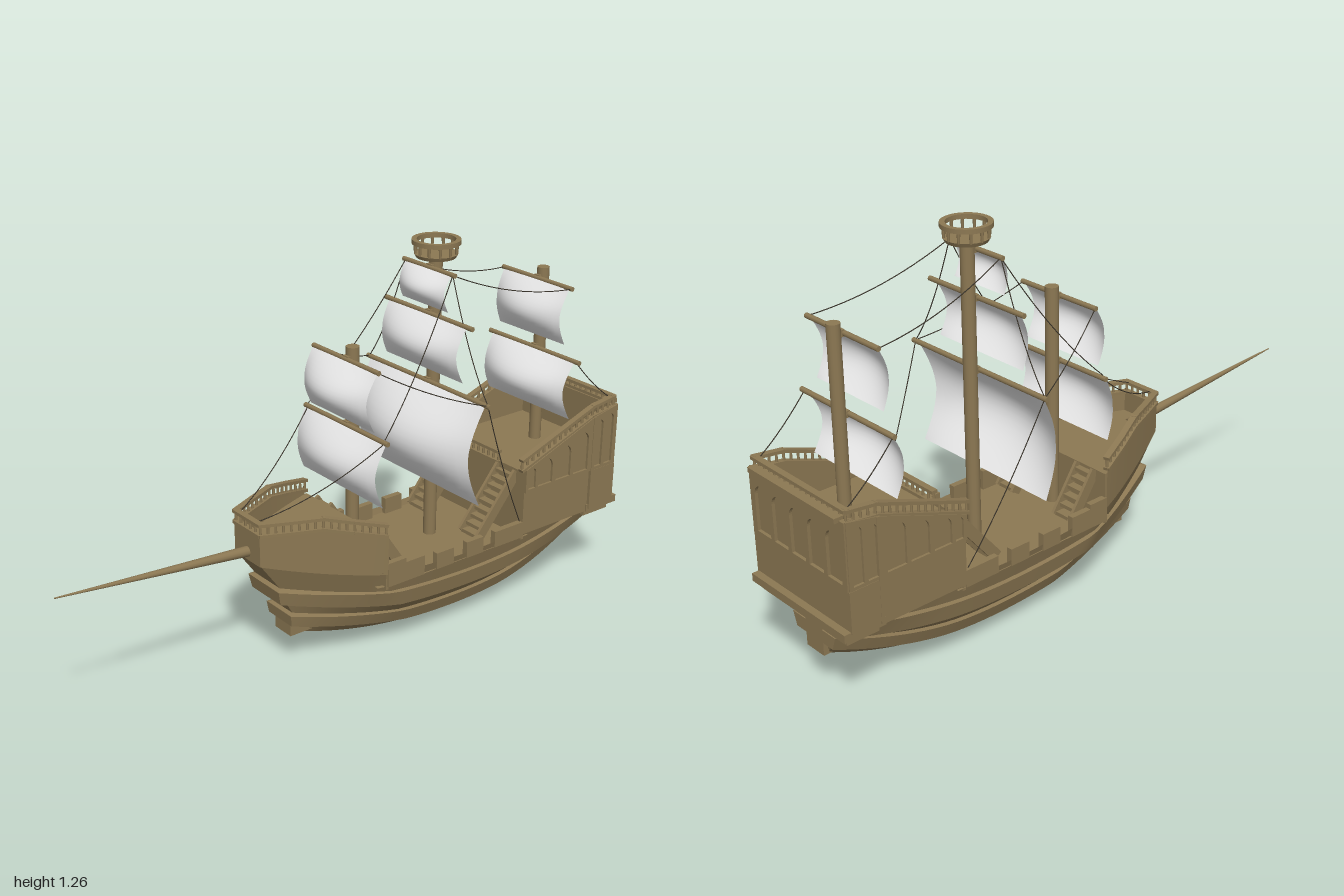
import * as THREE from 'three';
import { toCreasedNormals } from 'three/addons/utils/BufferGeometryUtils.js';

const V = (x, y, z) => new THREE.Vector3(x, y, z);
const MID = -0.38; // lowest point of the sheer

// hull levels from keel to sheer: y mid, bow, stern; half width mid, bow, stern; z bow, stern
const LEVELS = [
  [0, 0.10, 0.13, 0.035, 0.03, 0.035, 0.18, -0.93],
  [0.065, 0.155, 0.175, 0.115, 0.045, 0.07, 0.225, -0.94],
  [0.062, 0.152, 0.172, 0.13, 0.06, 0.085, 0.245, -0.95],
  [0.105, 0.19, 0.215, 0.147, 0.065, 0.10, 0.25, -0.95],
  [0.108, 0.193, 0.218, 0.135, 0.05, 0.085, 0.235, -0.945],
  [0.165, 0.255, 0.255, 0.18, 0.055, 0.14, 0.27, -0.95],
  [0.162, 0.25, 0.25, 0.195, 0.075, 0.16, 0.295, -0.96],
  [0.215, 0.297, 0.30, 0.206, 0.08, 0.185, 0.305, -0.96],
  [0.218, 0.302, 0.305, 0.194, 0.065, 0.175, 0.29, -0.95],
  [0.29, 0.40, 0.41, 0.215, 0.065, 0.215, 0.36, -0.97],
];
const SHEER = LEVELS.length - 1;

// point of the hull side at height level k and depth z
function hullPoint(k, z) {
  const [ym, yb, ys, wm, wb, ws, zf, zb] = LEVELS[k];
  const fore = z > MID;
  const t = fore ? (z - MID) / (zf - MID) : (z - MID) / (zb - MID);
  const y = ym + ((fore ? yb : ys) - ym) * t * t;
  const start = -0.2 + 0.02 * k;
  const f = Math.max(0, (z - start) / (zf - start)) ** 1.15;
  const a = Math.max(0, (z + 0.55) / (zb + 0.55)) ** 1.5;
  return V(wm + (wb - wm) * f + (ws - wm) * a, y, z);
}
const half = (z) => hullPoint(SHEER, z).x;

// surface through rows of points, optionally closing both ends across the ship
function loft(rows, capped) {
  const n = rows[0].length, pos = [], idx = [];
  rows.forEach((r) => r.forEach((p) => pos.push(p.x, p.y, p.z)));
  for (let i = 0; i < rows.length - 1; i++)
    for (let j = 0; j < n - 1; j++) {
      const a = i * n + j, b = a + n;
      idx.push(a, a + 1, b, a + 1, b + 1, b);
    }
  if (capped)
    for (let j = 0; j < n / 2 - 1; j++) {
      const k = n - 1 - j, e = (rows.length - 1) * n;
      idx.push(j, k, j + 1, j + 1, k, k - 1);
      idx.push(e + j, e + j + 1, e + k, e + j + 1, e + k - 1, e + k);
    }
  const g = new THREE.BufferGeometry();
  g.setAttribute('position', new THREE.Float32BufferAttribute(pos, 3));
  g.setIndex(idx);
  return toCreasedNormals(g, 0.5);
}

export function createModel() {
  const wood = new THREE.MeshStandardMaterial({ color: 0x8c7853, side: THREE.DoubleSide });
  wood.name = 'wood';
  const cloth = new THREE.MeshStandardMaterial({ color: 0xf4f4f4, side: THREE.DoubleSide });
  cloth.name = 'sailcloth';
  const cord = new THREE.MeshStandardMaterial({ color: 0x3c362c });
  cord.name = 'rope';
  const ship = new THREE.Group();
  ship.name = 'sailingShip';

  const add = (name, geo, mat = wood, x = 0, y = 0, z = 0) => {
    const m = new THREE.Mesh(geo, mat);
    m.name = name;
    m.position.set(x, y, z);
    ship.add(m);
    return m;
  };
  // box given by its limits
  const box = (name, x0, x1, y0, y1, z0, z1) =>
    add(name, new THREE.BoxGeometry(x1 - x0, y1 - y0, z1 - z0), wood, (x0 + x1) / 2, (y0 + y1) / 2, (z0 + z1) / 2);
  const beam = (name, a, b, w, h) => {
    const m = add(name, new THREE.BoxGeometry(w, h, a.distanceTo(b) + w * 0.5));
    m.position.copy(a).lerp(b, 0.5);
    m.lookAt(b);
  };
  // balustrade: top rail, foot rail and posts along a path
  const rail = (name, pts, h = 0.035) => {
    for (let i = 0; i < pts.length - 1; i++) {
      const a = pts[i], b = pts[i + 1], n = Math.max(1, Math.round(a.distanceTo(b) / 0.025));
      const down = V(0, -h, 0);
      beam(name + 'Top', a, b, 0.02, 0.01);
      beam(name + 'Foot', a.clone().add(down), b.clone().add(down), 0.02, 0.01);
      for (let j = 0; j <= n; j++) {
        const p = a.clone().lerp(b, j / n);
        add(name + 'Post', new THREE.CylinderGeometry(0.004, 0.005, h, 6), wood, p.x, p.y - h / 2, p.z);
      }
    }
  };

  // hull
  const hullRows = [];
  for (let i = 0; i <= 30; i++) {
    const side = LEVELS.map((l, k) => hullPoint(k, l[7] + (l[6] - l[7]) * i / 30));
    const other = side.map((p) => V(-p.x, p.y, p.z));
    hullRows.push([...other.reverse(), ...side]);
  }
  add('hull', loft(hullRows, true));
  box('stemBlock', -0.04, 0.04, 0.105, 0.185, 0.15, 0.235);
  box('sternPost', -0.04, 0.04, 0.13, 0.25, -0.95, -0.86);

  // decks follow the hull outline
  const deck = (name, y, z0, z1) => {
    const pts = [];
    for (let i = 0; i <= 12; i++) {
      const z = z0 + (z1 - z0) * i / 12;
      pts.push(new THREE.Vector2(half(z) - 0.003, -z));
    }
    const mirrored = pts.map((p) => new THREE.Vector2(-p.x, p.y)).reverse();
    add(name, new THREE.ShapeGeometry(new THREE.Shape([...pts, ...mirrored])), wood, 0, y, 0).rotation.x = -Math.PI / 2;
  };
  deck('mainDeck', 0.27, -0.6, 0.02);
  deck('foredeck', 0.43, -0.01, 0.355);
  deck('quarterdeck', 0.49, -0.96, -0.57);

  // forecastle walls
  const foreTop = (z) => Math.min(0.5, 0.45 + 0.05 * z / 0.18);
  const foreRows = [];
  for (let i = 0; i <= 12; i++) {
    const z = -0.01 + 0.37 * i / 12, p = hullPoint(SHEER, z);
    foreRows.push([V(p.x, p.y - 0.005, z), V(p.x + 0.002, foreTop(z), z)]);
  }
  add('forecastleWallLeft', loft(foreRows));
  add('forecastleWallRight', loft(foreRows.map((r) => r.map((p) => V(-p.x, p.y, p.z)).reverse())));
  box('forecastleFront', -0.066, 0.066, 0.395, 0.5, 0.35, 0.36);
  box('forecastleBulkhead', -0.21, 0.21, 0.26, 0.43, -0.015, -0.005);
  const foreZ = [-0.005, 0.09, 0.18, 0.27, 0.355];
  const foreSide = foreZ.map((z) => V(half(z) - 0.004, foreTop(z) + 0.032, z));
  rail('foreRail', [...foreSide, ...foreSide.map((p) => V(-p.x, p.y, p.z)).reverse()]);

  // waist bulwark blocks with gaps between them
  for (const s of [-1, 1]) {
    for (const [a, b, y] of [[-0.08, -0.01, 0.35], [-0.155, -0.08, 0.335], [-0.275, -0.205, 0.325], [-0.40, -0.33, 0.325], [-0.57, -0.45, 0.325]])
      box('bulwarkBlock', s * 0.205 - 0.01, s * 0.205 + 0.01, 0.27, y, a, b);
  }

  // plate with arched openings
  const plate = (outline, arches, depth) => {
    const shape = new THREE.Shape(outline.map((p) => new THREE.Vector2(...p)));
    for (const [c, y0, w, h] of arches) {
      const hole = new THREE.Path();
      hole.moveTo(c - w / 2, y0);
      hole.lineTo(c + w / 2, y0);
      hole.lineTo(c + w / 2, y0 + h - w / 2);
      hole.absarc(c, y0 + h - w / 2, w / 2, 0, Math.PI, false);
      hole.lineTo(c - w / 2, y0);
      shape.holes.push(hole);
    }
    return new THREE.ExtrudeGeometry(shape, { depth, bevelEnabled: false, curveSegments: 8 });
  };

  // aftercastle sides (drawn along -z) and stern
  const wall = [[0.57, 0.28], [0.97, 0.28], [0.97, 0.64], [0.87, 0.62], [0.57, 0.51]];
  const trim = [[0.57, 0.43], [0.975, 0.43], [0.975, 0.64], [0.87, 0.62], [0.57, 0.51]];
  const sideArches = [[0.597, 0.44, 0.03, 0.07], [0.655, 0.44, 0.062, 0.09], [0.735, 0.44, 0.066, 0.115],
    [0.815, 0.44, 0.066, 0.14], [0.895, 0.44, 0.035, 0.165], [0.943, 0.44, 0.035, 0.175]];
  for (const s of [-1, 1]) {
    add('aftercastleWall', plate(wall, [], 0.015), wood, s > 0 ? 0.2 : -0.215).rotation.y = Math.PI / 2;
    add('aftercastleArches', plate(trim, sideArches, 0.008), wood, s > 0 ? 0.215 : -0.223).rotation.y = Math.PI / 2;
    box('quarterPost', s * 0.217 - 0.008, s * 0.217 + 0.008, 0.29, 0.62, -0.878, -0.866);
  }
  box('sternWall', -0.21, 0.21, 0.28, 0.64, -0.97, -0.955);
  const sternArches = [-2, -1, 0, 1, 2].map((i) => [i * 0.083, 0.445, 0.066, 0.15]);
  add('sternArches', plate([[-0.22, 0.43], [0.22, 0.43], [0.22, 0.64], [-0.22, 0.64]], sternArches, 0.01), wood, 0, 0, -0.98);
  box('sternGallery', -0.224, 0.224, 0.3, 0.43, -0.977, -0.87);
  box('sternLedge', -0.22, 0.22, 0.28, 0.305, -1.0, -0.86);
  box('sternLedgeFoot', -0.2, 0.2, 0.255, 0.28, -0.98, -0.87);
  box('aftercastleBulkhead', -0.21, 0.21, 0.26, 0.5, -0.58, -0.57);
  const aftSide = [V(0.21, 0.545, -0.56), V(0.21, 0.655, -0.87), V(0.21, 0.667, -0.965)];
  rail('aftRail', [...aftSide, ...aftSide.map((p) => V(-p.x, p.y, p.z)).reverse()]);
  rail('quarterdeckRail', [V(-0.085, 0.53, -0.575), V(0.085, 0.53, -0.575)]);
  box('sternCap', -0.2, 0.2, 0.635, 0.65, -0.995, -0.96);

  // stairs from the main deck
  const stairs = (name, x, w, z0, z1, y0, y1, n) => {
    for (let i = 0; i < n; i++) {
      const z = z0 + (z1 - z0) * (i + 0.5) / n, y = y0 + (y1 - y0) * (i + 1) / n;
      box(name + 'Step', x - w / 2, x + w / 2, y - 0.012, y, z - 0.013, z + 0.013);
    }
    for (const s of [-1, 1]) beam(name + 'Stringer', V(x + s * w / 2, y0 + 0.015, z0), V(x + s * w / 2, y1 + 0.005, z1), 0.01, 0.035);
  };
  for (const s of [-1, 1]) {
    stairs('aftStair', s * 0.13, 0.08, -0.42, -0.575, 0.28, 0.48, 9);
    stairs('foreStair', s * 0.13, 0.07, -0.11, -0.015, 0.27, 0.42, 6);
  }

  // bowsprit
  const sprit = add('bowsprit', new THREE.CylinderGeometry(0.002, 0.018, 0.702, 12), wood, 0, 0.448, 0.65);
  sprit.rotation.x = Math.PI / 2 - 0.085;

  // masts, yards and billowing sails: [yard y, yard half, sail half, sail bottom, belly]
  const sail = (z, [y, yardHalf, w, y0, belly]) => {
    add('yard', new THREE.CylinderGeometry(0.008, 0.008, yardHalf * 2, 8), wood, 0, y, z).rotation.z = Math.PI / 2;
    const g = new THREE.PlaneGeometry(w * 2, y - y0, 16, 16), p = g.attributes.position;
    for (let i = 0; i < p.count; i++) {
      const u = p.getX(i) / w, v = THREE.MathUtils.clamp(0.5 - p.getY(i) / (y - y0), 0, 1);
      p.setZ(i, Math.sin(Math.PI * v) * belly * (0.42 + 0.58 * (1 - u * u)) + 0.01 * v);
      p.setX(i, p.getX(i) * (0.97 + 0.06 * Math.abs(v - 0.5)));
    }
    g.computeVertexNormals();
    add('sail', g, cloth, 0, (y + y0) / 2, z + 0.003);
  };
  const mast = (name, z, y0, y1, r, sails) => {
    add(name, new THREE.CylinderGeometry(r, r, y1 - y0, 16), wood, 0, (y0 + y1) / 2, z);
    sails.forEach((s) => {
      sail(z + r + 0.006, s);
      box('yardBracket', -0.012, 0.012, s[0] - 0.01, s[0] + 0.01, z, z + r + 0.008);
    });
  };
  mast('foremast', -0.037, 0.27, 0.985, 0.021, [[0.95, 0.16, 0.157, 0.765, 0.08], [0.74, 0.205, 0.2, 0.535, 0.075]]);
  mast('mainmast', -0.358, 0.27, 1.21, 0.021, [[1.175, 0.12, 0.107, 1.06, 0.05], [1.03, 0.205, 0.182, 0.855, 0.07], [0.808, 0.295, 0.275, 0.478, 0.12]]);
  mast('mizzenmast', -0.82, 0.48, 1.088, 0.02, [[1.055, 0.16, 0.15, 0.87, 0.07], [0.82, 0.21, 0.19, 0.625, 0.085]]);

  // crow's nest
  add('nestFloor', new THREE.CylinderGeometry(0.068, 0.062, 0.012, 24), wood, 0, 1.21, -0.358);
  const ring = [[0.06, -0.007], [0.076, -0.007], [0.076, 0.007], [0.06, 0.007], [0.06, -0.007]].map((p) => new THREE.Vector2(...p));
  add('nestRing', toCreasedNormals(new THREE.LatheGeometry(ring, 28), 0.6), wood, 0, 1.253, -0.358);
  for (let i = 0; i < 12; i++) {
    const a = i * Math.PI / 6;
    add('nestPost', new THREE.CylinderGeometry(0.006, 0.004, 0.036, 6), wood, Math.cos(a) * 0.065, 1.232, -0.358 + Math.sin(a) * 0.065);
  }

  // rigging, mirrored on both sides
  const ropes = [
    [V(0.19, 0.74, -0.01), V(0.045, 0.535, 0.35), 0.05],
    [V(0.155, 0.95, -0.01), V(0.285, 0.81, -0.33), 0.03],
    [V(0.11, 1.175, -0.33), V(0.19, 0.75, -0.01), 0.06],
    [V(0.11, 1.175, -0.33), V(0.285, 0.81, -0.33), 0.07],
    [V(0.285, 0.81, -0.33), V(0.21, 0.33, -0.56), 0.04],
    [V(0.11, 1.175, -0.33), V(0.155, 1.055, -0.79), 0.05],
    [V(0.2, 0.82, -0.79), V(0.2, 0.665, -0.955), 0.02],
  ];
  for (const [a, b, sag] of ropes)
    for (const s of [-1, 1]) {
      const m = a.clone().lerp(b, 0.5).add(V(0, -sag, 0));
      const curve = new THREE.QuadraticBezierCurve3(...[a, m, b].map((p) => V(p.x * s, p.y, p.z)));
      add('rope', new THREE.TubeGeometry(curve, 14, 0.0016, 5), cord);
    }
  return ship;
}
